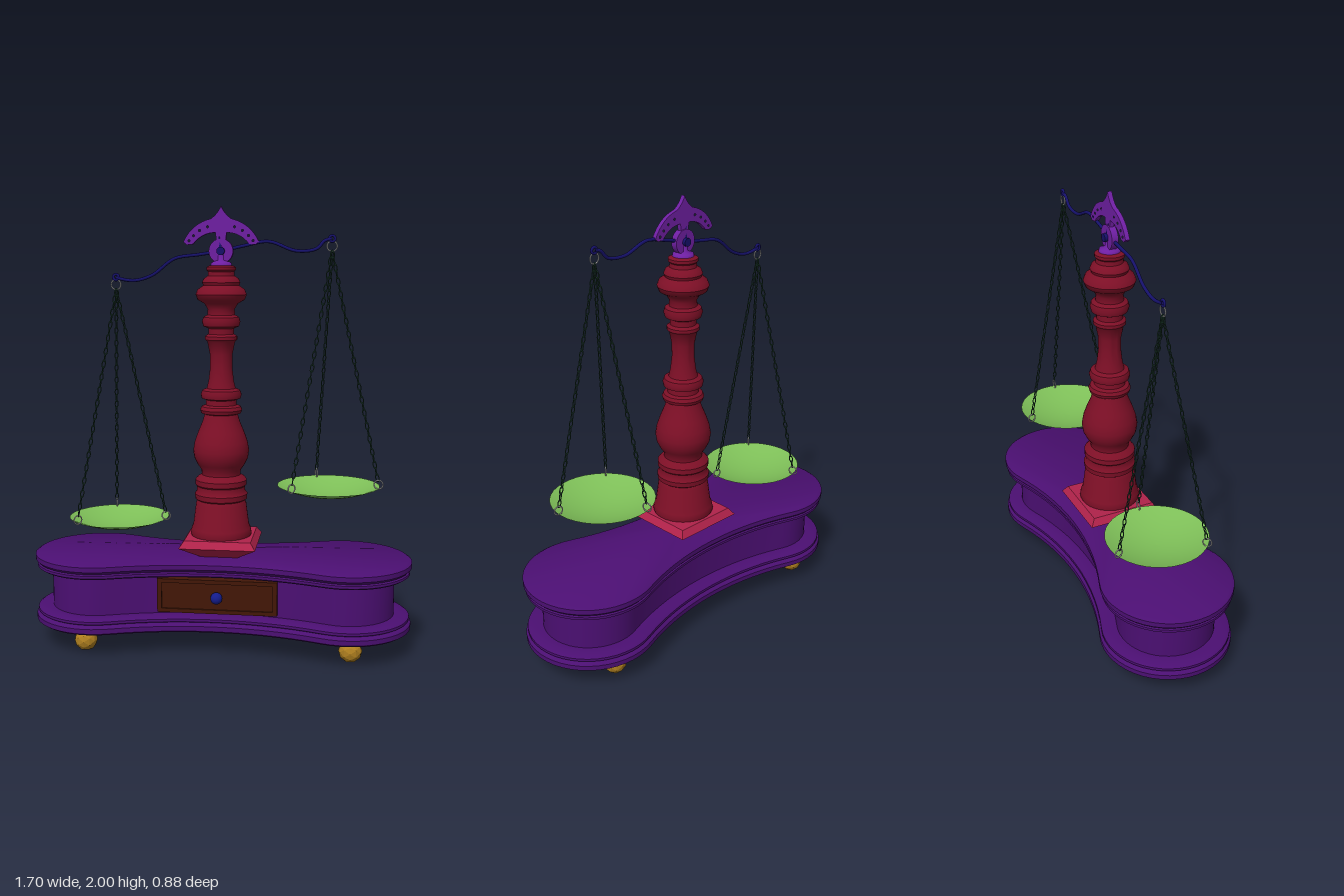
import * as THREE from 'three';
import { mergeGeometries, toCreasedNormals } from 'three/addons/utils/BufferGeometryUtils.js';

const mat = (color, opts = {}) => new THREE.MeshStandardMaterial({ color, ...opts });
const PURPLE = mat(0x4b0f72), VIOLET = mat(0x6f1fa3), CRIMSON = mat(0x7d0f26);
const ROSE = mat(0xb0224a, { flatShading: true }), WOOD = mat(0x431707), BLUE = mat(0x141c8c);
const GOLD = mat(0xb08020, { flatShading: true }), NAVY = mat(0x15106a);
const GREEN = mat(0x7ebf58, { side: THREE.DoubleSide }), CHAIN = mat(0x1c3a2c), GREY = mat(0xcccccc);

function add(parent, name, geometry, material, x = 0, y = 0, z = 0) {
  const mesh = new THREE.Mesh(geometry, material);
  mesh.name = name;
  mesh.position.set(x, y, z);
  parent.add(mesh);
  return mesh;
}

const vec2 = (pairs) => pairs.map(([x, y]) => new THREE.Vector2(x, y));

// Waisted outline: two round ends joined by tangent concave arcs, inset by d
function outline(d) {
  const c = 0.575, R = 0.295, waist = 0.19;
  const Rw = (c * c + waist * waist - R * R) / (2 * (R - waist)), W = waist + Rw;
  const phi = Math.atan2(W, -c), PI = Math.PI, pts = [];
  const arc = (cx, cy, r, a0, a1, n) => {
    for (let i = 0; i < n; i++) {
      const a = a0 + (a1 - a0) * i / n;
      pts.push([cx + r * Math.cos(a), -(cy + r * Math.sin(a))]);
    }
  };
  arc(c, 0, R - d, -phi, phi, 28);
  arc(0, W, Rw + d, phi - PI, -phi, 14);
  arc(-c, 0, R - d, PI - phi, PI + phi, 28);
  arc(0, -W, Rw + d, phi, PI - phi, 14);
  return pts;
}

// Base: the outline lofted through a moulded profile of [inset, height]
function baseGeometry() {
  const half = [[0.015, 0.107], [0, 0.117], [0, 0.139], [0.01, 0.15], [0.016, 0.153],
    [0.008, 0.158], [0.008, 0.17], [0.02, 0.178], [0.077, 0.178]];
  const profile = [...half, ...half.map(([d, y]) => [d, 0.54 - y]).reverse()];
  const pos = [], idx = [], n = outline(0).length;
  profile.forEach(([d, y]) => outline(d).forEach(([x, z]) => pos.push(x, y, z)));
  const last = (profile.length - 1) * n, bottom = profile.length * n, top = bottom + 1;
  pos.push(0, profile[0][1], 0, 0, profile[profile.length - 1][1], 0);
  for (let j = 0; j < n; j++) {
    const k = (j + 1) % n;
    for (let i = 0; i < last; i += n) idx.push(i + j, i + k, i + n + k, i + j, i + n + k, i + n + j);
    idx.push(bottom, k, j, top, last + j, last + k);
  }
  const g = new THREE.BufferGeometry();
  g.setAttribute('position', new THREE.Float32BufferAttribute(pos, 3));
  g.setIndex(idx);
  return toCreasedNormals(g, 0.6);
}

function buildDrawer(parent) {
  const drawer = new THREE.Group();
  drawer.name = 'drawer';
  drawer.position.set(0, 0.268, 0);
  parent.add(drawer);
  const rect = (C, w, h) => new C().moveTo(-w, -h).lineTo(w, -h).lineTo(w, h).lineTo(-w, h).closePath();
  const frame = rect(THREE.Shape, 0.272, 0.078);
  frame.holes.push(rect(THREE.Path, 0.252, 0.06));
  add(drawer, 'drawerFrame', new THREE.ExtrudeGeometry(frame, { depth: 0.06, bevelEnabled: false }), WOOD, 0, 0, 0.102);
  add(drawer, 'drawerPanel', new THREE.BoxGeometry(0.51, 0.126, 0.06), WOOD, 0, 0, 0.124);
  add(drawer, 'drawerKnob', new THREE.SphereGeometry(0.027, 16, 12), BLUE, 0, 0, 0.175);
}

// Turned column
function columnGeometry() {
  const profile = [[0, 0.515], [0.135, 0.515], [0.14, 0.53], [0.135, 0.555], [0.128, 0.57], [0.115, 0.67],
    [0.108, 0.685], [0.118, 0.692], [0.12, 0.715], [0.11, 0.728], [0.11, 0.75], [0.117, 0.757],
    [0.117, 0.78], [0.105, 0.793], [0.088, 0.803], [0.09, 0.825], [0.107, 0.85], [0.122, 0.88],
    [0.127, 0.915], [0.12, 0.955], [0.104, 1.0], [0.085, 1.045], [0.075, 1.08], [0.09, 1.085],
    [0.095, 1.1], [0.088, 1.115], [0.07, 1.122], [0.068, 1.145], [0.088, 1.152], [0.092, 1.17],
    [0.085, 1.188], [0.065, 1.197], [0.057, 1.23], [0.05, 1.29], [0.051, 1.35], [0.062, 1.405],
    [0.072, 1.415], [0.072, 1.43], [0.058, 1.44], [0.058, 1.465], [0.08, 1.475], [0.086, 1.495],
    [0.08, 1.515], [0.062, 1.525], [0.06, 1.55], [0.075, 1.575], [0.105, 1.592], [0.114, 1.615],
    [0.105, 1.638], [0.08, 1.655], [0.085, 1.668], [0.078, 1.685], [0.06, 1.697], [0.058, 1.715],
    [0.065, 1.722], [0.065, 1.735], [0.05, 1.743], [0, 1.743]];
  return toCreasedNormals(new THREE.LatheGeometry(vec2(profile), 32), 0.7);
}

// Flat crest on the column: stem, crescent with pierced dots, and spike
function buildCrest(parent) {
  const s = new THREE.Shape();
  s.moveTo(0, 2).quadraticCurveTo(0.015, 1.965, 0.045, 1.945);
  s.quadraticCurveTo(0.13, 1.925, 0.168, 1.845).lineTo(0.152, 1.832).lineTo(0.125, 1.835);
  s.quadraticCurveTo(0.085, 1.885, 0.025, 1.885).lineTo(0.015, 1.81).lineTo(-0.015, 1.81);
  s.lineTo(-0.025, 1.885).quadraticCurveTo(-0.085, 1.885, -0.125, 1.835);
  s.lineTo(-0.152, 1.832).lineTo(-0.168, 1.845).quadraticCurveTo(-0.13, 1.925, -0.045, 1.945);
  s.quadraticCurveTo(-0.015, 1.965, 0, 2);
  for (const m of [-1, 1]) for (const [x, y] of [[0.06, 1.91], [0.095, 1.894], [0.122, 1.872], [0.142, 1.85]])
    s.holes.push(new THREE.Path().absarc(m * x, y, 0.005, 0, Math.PI * 2, true));
  add(parent, 'crest', new THREE.ExtrudeGeometry(s, { depth: 0.02, bevelEnabled: false, curveSegments: 8 }), VIOLET, 0, 0, -0.01);
  add(parent, 'crestFoot', new THREE.LatheGeometry(vec2([[0.048, 1.74], [0.045, 1.755], [0.02, 1.765], [0.018, 1.8]]), 20), VIOLET);
  add(parent, 'hub', new THREE.CylinderGeometry(0.054, 0.054, 0.03, 24).rotateX(Math.PI / 2), VIOLET, 0, 1.805, 0);
  add(parent, 'pivot', new THREE.CylinderGeometry(0.018, 0.018, 0.06, 16).rotateX(Math.PI / 2), NAVY, 0, 1.805, 0);
  const pointer = add(parent, 'pointer', new THREE.ConeGeometry(0.016, 0.13, 8), NAVY, -0.008, 1.865, 0);
  pointer.rotation.z = 0.14;
  pointer.scale.z = 1.4;
}

// Chain of alternating oval links between two points
function chainGeometry(from, to) {
  const count = Math.round(from.distanceTo(to) / 0.03), links = [];
  const dir = to.clone().sub(from).normalize();
  const q = new THREE.Quaternion().setFromUnitVectors(new THREE.Vector3(0, 1, 0), dir);
  for (let i = 0; i < count; i++) {
    const p = from.clone().lerp(to, (i + 0.5) / count);
    links.push(new THREE.TorusGeometry(0.0075, 0.0024, 5, 10).scale(1, 2.1, 1)
      .rotateY(i % 2 * Math.PI / 2).applyQuaternion(q).translate(p.x, p.y, p.z));
  }
  return mergeGeometries(links);
}

// Hanging pan with its three chains and rings
function buildPan(parent, name, x, hookY, rimY) {
  const pan = new THREE.Group();
  pan.name = name;
  pan.position.x = x;
  parent.add(pan);
  const bowl = [];
  for (let i = 0; i <= 8; i++) bowl.push([0.23 * i / 8, rimY - 0.052 * (1 - (i / 8) ** 2)]);
  add(pan, 'bowl', new THREE.LatheGeometry(vec2(bowl), 36), GREEN);
  add(pan, 'beamEye', new THREE.TorusGeometry(0.013, 0.006, 8, 16), NAVY, 0, hookY, 0);
  add(pan, 'hookRing', new THREE.TorusGeometry(0.022, 0.003, 6, 20), GREY, 0, hookY - 0.033, 0);
  for (const deg of [-6, 106, 226]) {
    const a = deg * Math.PI / 180, cx = Math.cos(a), cz = -Math.sin(a);
    add(pan, 'chain', chainGeometry(new THREE.Vector3(0, hookY - 0.053, 0),
      new THREE.Vector3(cx * 0.222, rimY + 0.03, cz * 0.222)), CHAIN);
    add(pan, 'rimRing', new THREE.TorusGeometry(0.02, 0.003, 6, 18), GREY, cx * 0.225, rimY + 0.013, cz * 0.225).rotation.y = a;
  }
}

export function createModel() {
  const model = new THREE.Group();
  model.name = 'balanceScale';
  const scale = new THREE.Group();
  scale.name = 'turnedScale';
  scale.rotation.y = 0.26;
  model.add(scale);

  add(scale, 'base', baseGeometry(), PURPLE);
  buildDrawer(scale);
  for (const sx of [-1, 1]) for (const sz of [-1, 1])
    add(scale, 'foot', new THREE.IcosahedronGeometry(0.053, 1), GOLD, sx * 0.6, 0.054, sz * 0.18);

  // Square plinth that flares upward, then bevels in
  const r = Math.SQRT2;
  add(scale, 'plinth', new THREE.LatheGeometry(vec2([[0, 0.43], [0.08 * r, 0.43], [0.172 * r, 0.49],
    [0.15 * r, 0.522], [0, 0.522]]), 4).rotateY(Math.PI / 4), ROSE);
  add(scale, 'column', columnGeometry(), CRIMSON);
  buildCrest(scale);

  // Wavy tilted beam
  const path = [[-0.476, 1.69], [-0.455, 1.683], [-0.39, 1.676], [-0.31, 1.7], [-0.21, 1.772], [-0.1, 1.79],
    [0, 1.805], [0.1, 1.828], [0.21, 1.846], [0.33, 1.806], [0.42, 1.815], [0.455, 1.85], [0.487, 1.858]];
  const curve = new THREE.CatmullRomCurve3(path.map(([x, y]) => new THREE.Vector3(x, y, 0)));
  add(scale, 'beam', new THREE.TubeGeometry(curve, 80, 0.0075, 8), NAVY);
  buildPan(scale, 'rightPan', -0.476, 1.69, 0.593);
  buildPan(scale, 'leftPan', 0.487, 1.858, 0.763);
  return model;
}
